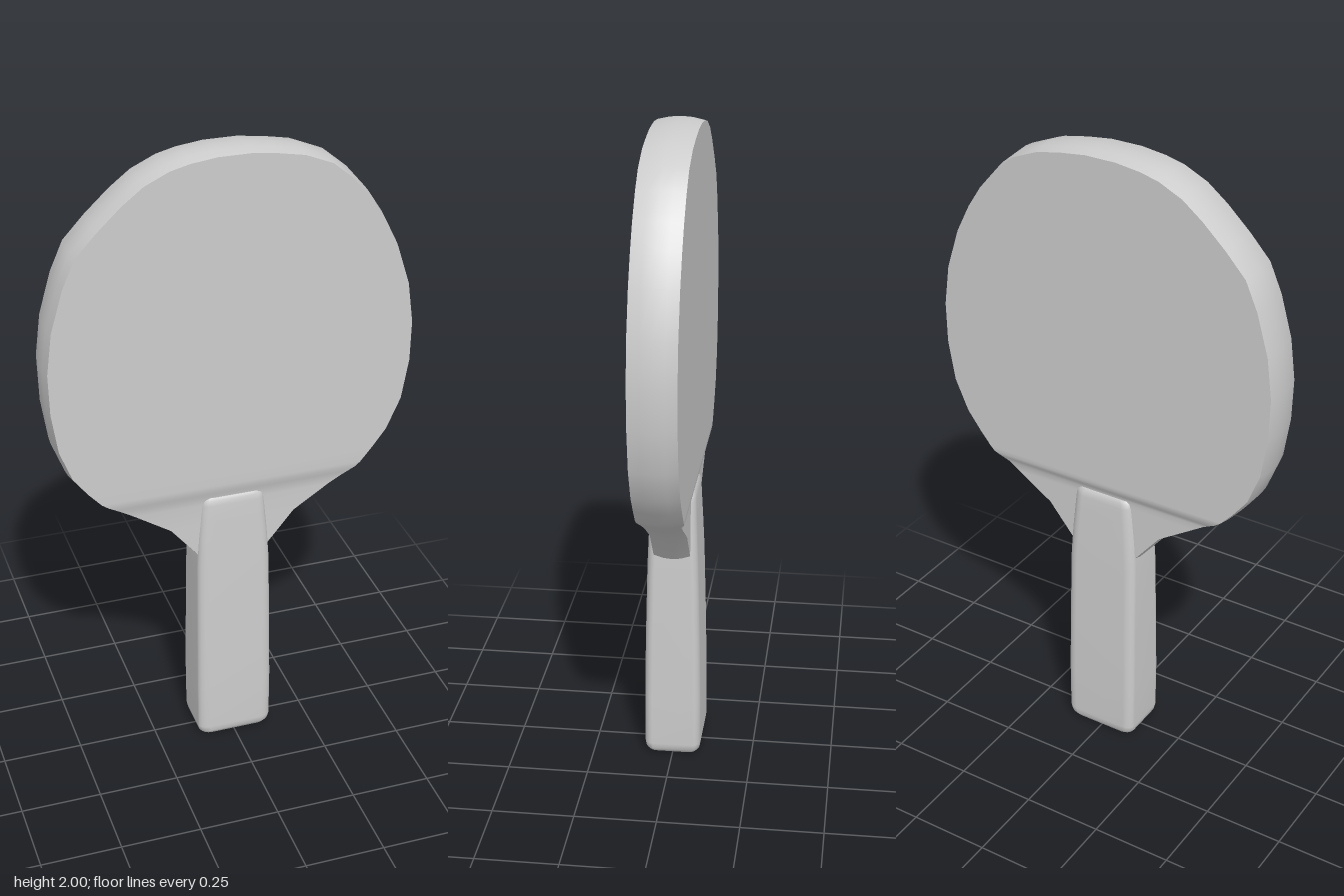
import * as THREE from 'three';

const grey = new THREE.MeshStandardMaterial({ color: 0xcccccc });
grey.name = 'plain grey';

// Skin over rows of [x, y, z] points; rows go up, points go left to right as seen from outside
function skin(name, rows, closed = false) {
  const n = rows[0].length, index = [];
  for (let i = 0; i < rows.length - 1; i++) {
    for (let j = 0; j < (closed ? n : n - 1); j++) {
      const k = (j + 1) % n;
      const a = i * n + j, b = i * n + k, c = a + n, d = b + n;
      index.push(a, b, d, a, d, c);
    }
  }
  const geometry = new THREE.BufferGeometry();
  geometry.setAttribute('position', new THREE.Float32BufferAttribute(rows.flat(2), 3));
  geometry.setIndex(index);
  geometry.computeVertexNormals();
  const mesh = new THREE.Mesh(geometry, grey);
  mesh.name = name;
  return mesh;
}

// Blade outline: height, left edge, right edge
const OUTLINE = [
  [0.68, -0.11, 0.11], [0.79, -0.2, 0.2], [0.865, -0.315, 0.315], [0.89, -0.353, 0.353],
  [0.905, -0.376, 0.376], [0.92, -0.4, 0.4], [0.935, -0.42, 0.415], [0.98, -0.46, 0.452],
  [1.04, -0.505, 0.497], [1.14, -0.543, 0.541], [1.27, -0.562, 0.563], [1.4, -0.565, 0.565],
  [1.53, -0.548, 0.547], [1.66, -0.51, 0.505], [1.75, -0.47, 0.46], [1.82, -0.405, 0.415],
  [1.89, -0.33, 0.355], [1.94, -0.265, 0.295], [1.975, -0.19, 0.21], [1.99, -0.13, 0.13],
  [2.0, -0.05, 0.05],
];
const ramp = (y, low, high) => 0.056 + 0.014 * THREE.MathUtils.smoothstep(y, low, high);
const frontZ = y => ramp(y, 0.865, 0.935);
const backZ = y => -ramp(y, 0.89, 0.92);
const inset = (x, y, s) => [x * (1 - 0.016 * s), 1.35 + (y - 1.35) * (1 - 0.016 * s)];

function blade() {
  const group = new THREE.Group();
  group.name = 'blade';
  const front = OUTLINE.map(([y, l, r]) => [[...inset(l, y, 1), frontZ(y)], [...inset(r, y, 1), frontZ(y)]]);
  const back = OUTLINE.map(([y, l, r]) => [[...inset(r, y, 1), backZ(y)], [...inset(l, y, 1), backZ(y)]]);
  // Bulging rim: up the right edge, over the top, down the left edge
  const path = [...OUTLINE.map(([y, , r]) => [r, y]), ...OUTLINE.map(([y, l]) => [l, y]).reverse()];
  const rim = path.map(([x, y]) => [1, 0.5, 0, -0.5, -1].map(t =>
    [...inset(x, y, t * t), t * (t > 0 ? frontZ(y) : -backZ(y))]));
  group.add(skin('frontFace', front), skin('backFace', back), skin('rim', rim));
  return group;
}

// Rounded rectangle section of the handle
function section(y, hx, hz) {
  const rx = 0.032, rz = 0.025, points = [];
  [[1, 1], [1, -1], [-1, -1], [-1, 1]].forEach(([sx, sz], corner) => {
    for (let k = 0; k <= 4; k++) {
      const t = (corner + k / 4) * Math.PI / 2;
      points.push([sx * (hx - rx) + rx * Math.sin(t), y, sz * (hz - rz) + rz * Math.cos(t)]);
    }
  });
  return points;
}

function handle() {
  const group = new THREE.Group();
  group.name = 'handle';
  const rows = [
    [0, 0.096, 0.066], [0.008, 0.109, 0.078], [0.02, 0.117, 0.085], [0.04, 0.121, 0.088],
    [0.2, 0.122, 0.088], [0.4, 0.12, 0.085], [0.65, 0.117, 0.079], [0.75, 0.111, 0.075],
    [0.82, 0.105, 0.072], [0.87, 0.101, 0.07], [0.887, 0.098, 0.067], [0.895, 0.092, 0.062],
  ].map(r => section(...r));
  const bottom = rows[0], top = rows[rows.length - 1];
  group.add(
    skin('grip', rows, true),
    skin('buttEnd', [bottom.map(() => [0, 0, 0]), bottom], true),
    skin('upperEnd', [top, top.map(() => [0, 0.895, 0])], true),
  );
  return group;
}

export function createModel() {
  const model = new THREE.Group();
  model.name = 'tableTennisPaddle';
  model.add(blade(), handle());
  return model;
}
